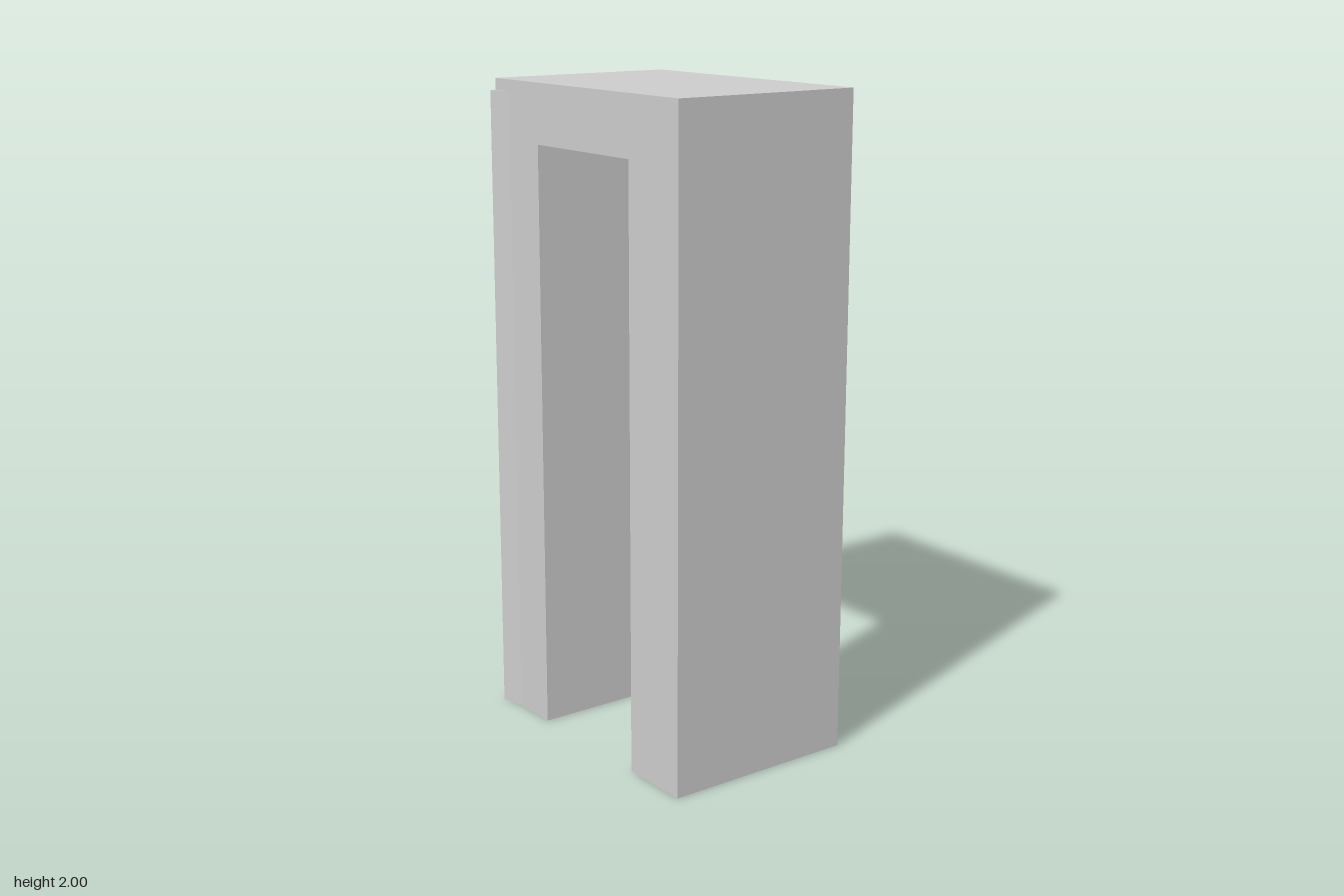
import * as THREE from 'three';

const material = new THREE.MeshStandardMaterial({ color: 0xcccccc });

const W = 0.458, GAP = 0.229;        // outer and inner half widths
const BACK = -0.317, FRONT = 0.298;  // depth of the frame
const LIP = 0.317;                   // front of the flared corner
const H = 2, SOFFIT = 1.82, LIP_TOP = 1.965;
const KINK = -0.383;                 // where the flare begins

function extrude(points, depth) {
  const shape = new THREE.Shape(points.map(([x, y]) => new THREE.Vector2(x, y)));
  return new THREE.ExtrudeGeometry(shape, { depth, bevelEnabled: false });
}

// upright prism from an (x, z) plan
function prism(name, plan, y0, y1) {
  const geo = extrude(plan.map(([x, z]) => [x, -z]), y1 - y0);
  geo.rotateX(-Math.PI / 2).translate(0, y0, 0);
  const mesh = new THREE.Mesh(geo, material);
  mesh.name = name;
  return mesh;
}

export function createModel() {
  const group = new THREE.Group();
  group.name = 'archway';

  // lintel and straight left leg in one piece
  const frameGeo = extrude([
    [-W, SOFFIT], [GAP, SOFFIT], [GAP, 0], [W, 0], [W, H], [-W, H],
  ], FRONT - BACK);
  frameGeo.translate(0, 0, BACK);
  const frame = new THREE.Mesh(frameGeo, material);
  frame.name = 'lintelAndLeftLeg';
  group.add(frame);

  // right leg, narrower at the back and flared at the front corner
  group.add(prism('rightLeg', [
    [-GAP, FRONT], [-GAP, BACK], [KINK, BACK], [-W, LIP], [KINK, FRONT],
  ], 0, SOFFIT));

  // flare carried up over the face of the lintel
  group.add(prism('cornerFlare', [
    [KINK, FRONT], [-W, FRONT], [-W, LIP],
  ], SOFFIT, LIP_TOP));

  return group;
}
